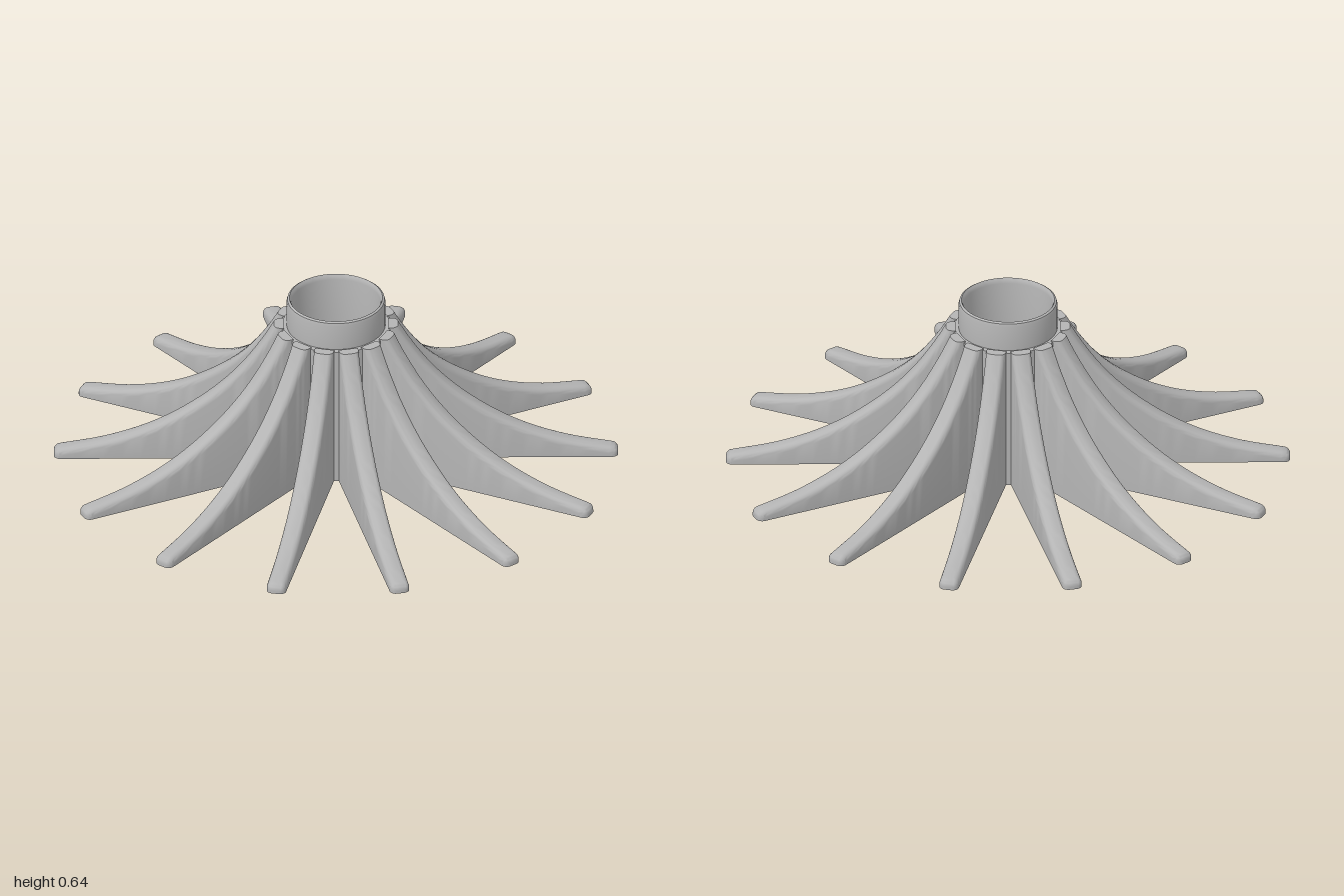
import * as THREE from 'three';
import { toCreasedNormals } from 'three/addons/utils/BufferGeometryUtils.js';

const FINS = 14, WIDTH = 0.07, ROUND = 0.022, TOP = 0.535, ROOT = 0.185;

// One fin: sweeping crest with rounded shoulders, straight walls down to the ground
function finGeometry() {
  const crest = new THREE.SplineCurve([
    [0.22, TOP], [0.265, 0.46], [0.33, 0.37], [0.405, 0.29], [0.49, 0.22],
    [0.59, 0.155], [0.70, 0.103], [0.83, 0.062], [0.97, 0.036],
  ].map(p => new THREE.Vector2(...p)));
  const columns = [];

  // Section across the fin: foot, rounded shoulder, rounded shoulder, foot
  const section = (p, n) => {
    const half = WIDTH / 2, pts = [];
    for (const side of [-1, 1]) {
      const arc = [];
      for (let i = 0; i <= 5; i++) {
        const a = (i / 5) * Math.PI / 2;
        const depth = ROUND * (1 - Math.sin(a));
        const z = half - ROUND * (1 - Math.cos(a));
        arc.push([p.x + n.x * depth, Math.max(0, p.y + n.y * depth), side * z]);
      }
      arc.unshift([arc[0][0], 0, side * half]);
      pts.push(...(side < 0 ? arc : arc.reverse()));
    }
    return pts;
  };

  // Flat top running back into the hub, then along the crest and round the tip
  const first = section(new THREE.Vector2(0.22, TOP), new THREE.Vector2(-1, 0));
  const last = first.length - 1;
  columns.push(first.map(([, , z], j) => [ROOT, j === 0 || j === last ? 0 : TOP, z]));
  columns.push(first);
  for (let i = 1; i <= 32; i++) {
    const p = crest.getPoint(i / 32), t = crest.getTangent(i / 32);
    columns.push(section(p, new THREE.Vector2(t.y, -t.x)));
  }
  for (let i = 1; i <= 5; i++) {
    const a = (1 - i / 5) * 1.4, c = Math.cos(a), s = Math.sin(a);
    columns.push(section(new THREE.Vector2(0.975 + 0.025 * c, 0.01 + 0.025 * s), new THREE.Vector2(-c, -s)));
  }
  columns.push(section(new THREE.Vector2(1, 0), new THREE.Vector2(-1, 0)));

  // Skin the sections, including the underside, and cap the tip
  const n = first.length, index = [];
  for (let i = 0; i < columns.length - 1; i++) {
    for (let j = 0; j < n; j++) {
      const a = i * n + j, b = i * n + (j + 1) % n;
      index.push(a, b, a + n, b, b + n, a + n);
    }
  }
  const end = (columns.length - 1) * n;
  for (let j = 1; j < n - 1; j++) index.push(end, end + j, end + j + 1);

  const geometry = new THREE.BufferGeometry();
  geometry.setAttribute('position', new THREE.Float32BufferAttribute(columns.flat(2), 3));
  geometry.setIndex(index);
  return toCreasedNormals(geometry, 0.6);
}

// Hollow hub with a shoulder behind the fins and a softened collar on top
function hubGeometry() {
  const profile = [
    [0.182, 0], [0.195, 0], [0.195, 0.53], [0.175, 0.53], [0.175, 0.625],
    [0.172, 0.635], [0.165, 0.64], [0.161, 0.634], [0.158, 0.62],
    [0.158, 0.36], [0.147, 0.35], [0.147, 0.28], [0.182, 0.22], [0.182, 0],
  ].map(p => new THREE.Vector2(...p));
  return toCreasedNormals(new THREE.LatheGeometry(profile, 72), 0.6);
}

export function createModel() {
  const model = new THREE.Group();
  model.name = 'finnedStand';
  const grey = new THREE.MeshStandardMaterial({ color: 0xb4b4b4, side: THREE.DoubleSide });
  grey.name = 'grey';

  const hub = new THREE.Mesh(hubGeometry(), grey);
  hub.name = 'hub';
  model.add(hub);

  // Ring of radiating fins, turned very slightly off the x axis
  const geometry = finGeometry();
  const fins = new THREE.Group();
  fins.name = 'fins';
  for (let i = 0; i < FINS; i++) {
    const fin = new THREE.Mesh(geometry, grey);
    fin.name = `fin${i + 1}`;
    fin.rotation.y = (i / FINS) * Math.PI * 2 - 0.01;
    fins.add(fin);
  }
  model.add(fins);
  return model;
}
